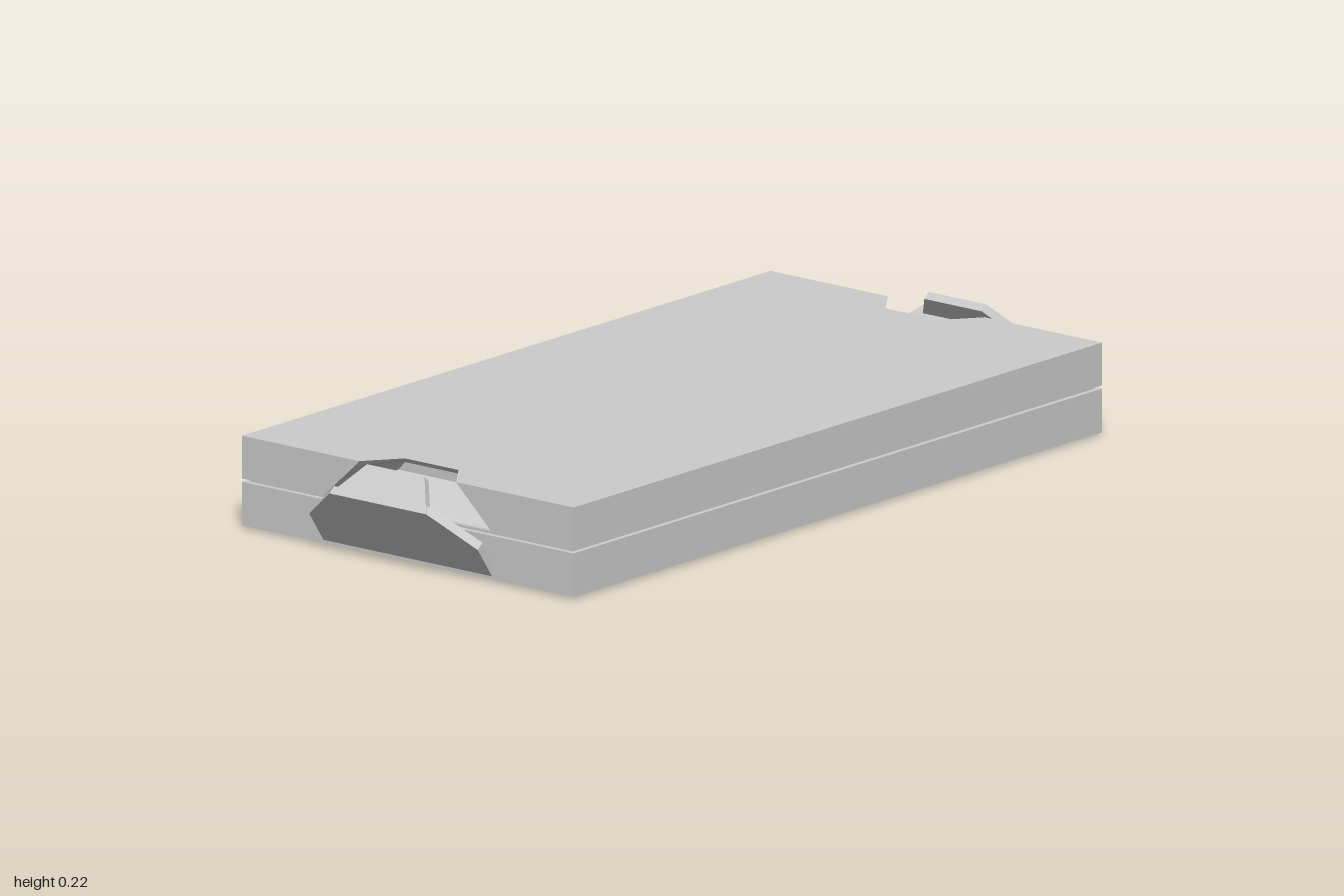
import * as THREE from 'three';
import { ConvexGeometry } from 'three/addons/geometries/ConvexGeometry.js';

const X0 = -0.9, X1 = 0.87, Z = 0.4625;
const material = new THREE.MeshStandardMaterial({ color: 0xcccccc, flatShading: true });

function addMesh(parent, name, geometry) {
  const mesh = new THREE.Mesh(geometry, material);
  mesh.name = name;
  parent.add(mesh);
  return mesh;
}

function addSlab(parent, name, y0, y1, inset = 0) {
  const geometry = new THREE.BoxGeometry(X1 - X0 - 2 * inset, y1 - y0, 2 * (Z - inset));
  addMesh(parent, name, geometry).position.set((X0 + X1) / 2, (y0 + y1) / 2, 0);
}

// Plan outline of the upper slab with a trapezoid notch in each end
function notchedOutline(depth, inner, outer) {
  return [
    [X1, Z], [X1, outer], [X1 - depth, inner], [X1 - depth, -inner], [X1, -outer], [X1, -Z],
    [X0, -Z], [X0, -outer], [X0 + depth, -inner], [X0 + depth, inner], [X0, outer], [X0, Z],
  ];
}

// Upper slab: outlines stacked in y so that the notch walls are undercut and then slope out
function notchedSlabGeometry() {
  const layers = [
    // y, notch depth, inner half width, outer half width
    [0.11, 0.01, 0.225, 0.235],
    [0.17, 0.1, 0.11, 0.172],
    [0.19, 0.1, 0.09, 0.15],
    [0.205, 0.08, 0.075, 0.135],
  ];
  const positions = [], index = [];
  const n = 12, top = (layers.length - 1) * n;
  for (const [y, depth, inner, outer] of layers)
    for (const [x, z] of notchedOutline(depth, inner, outer)) positions.push(x, y, z);
  for (let l = 0; l < layers.length - 1; l++)
    for (let k = 0; k < n; k++) {
      const a = l * n + k, b = l * n + (k + 1) % n;
      index.push(a, b, b + n, a, b + n, a + n);
    }
  // Top and bottom caps
  const cap = (layer) => THREE.ShapeUtils.triangulateShape(
    notchedOutline(...layer.slice(1)).map(([x, z]) => new THREE.Vector2(x, -z)), []);
  for (const [a, b, c] of cap(layers[layers.length - 1])) index.push(top + a, top + b, top + c);
  for (const [a, b, c] of cap(layers[0])) index.push(a, c, b);
  const indexed = new THREE.BufferGeometry();
  indexed.setAttribute('position', new THREE.Float32BufferAttribute(positions, 3));
  indexed.setIndex(index);
  const geometry = indexed.toNonIndexed();
  geometry.computeVertexNormals();
  return geometry;
}

// Flat plate: outer face given by [x, y, half width] rows, thickened by a shift
function plateGeometry(rows, dx, dy) {
  const points = [];
  for (const [x, y, w] of rows)
    for (const z of [-w, w])
      points.push(new THREE.Vector3(x, y, z), new THREE.Vector3(x + dx, y + dy, z));
  return new ConvexGeometry(points);
}

// Folded latch: a plate leaning outwards and a hook folded back over the slab
function addLatch(parent, name, side, hingeX, y) {
  const latch = new THREE.Group();
  latch.name = name;
  const elbow = [side, y + 0.148];
  const tip = [side * 0.94, y + 0.21];
  const mid = [(hingeX + side) / 2, y + 0.075];
  addMesh(latch, 'latchPlate', plateGeometry(
    [[hingeX, y, 0.235], [...mid, 0.235], [...elbow, 0.135]], -side * 0.016, 0.013));
  addMesh(latch, 'latchHook', plateGeometry(
    [[...elbow, 0.135], [...tip, 0.08]], -side * 0.014, -0.013));
  parent.add(latch);
}

export function createModel() {
  const model = new THREE.Group();
  model.name = 'latchedCase';
  addSlab(model, 'lowerSlab', 0.006, 0.103);
  addSlab(model, 'seam', 0.1, 0.112, 0.012);
  addMesh(model, 'upperSlab', notchedSlabGeometry());
  addLatch(model, 'leftLatch', 1, 0.88, 0);
  addLatch(model, 'rightLatch', -1, -0.895, 0.006);

  // Thin hinge strip under the left end
  addMesh(model, 'hingeStrip', new THREE.BoxGeometry(0.06, 0.007, 0.47)).position.set(0.85, 0.0035, 0);
  return model;
}
